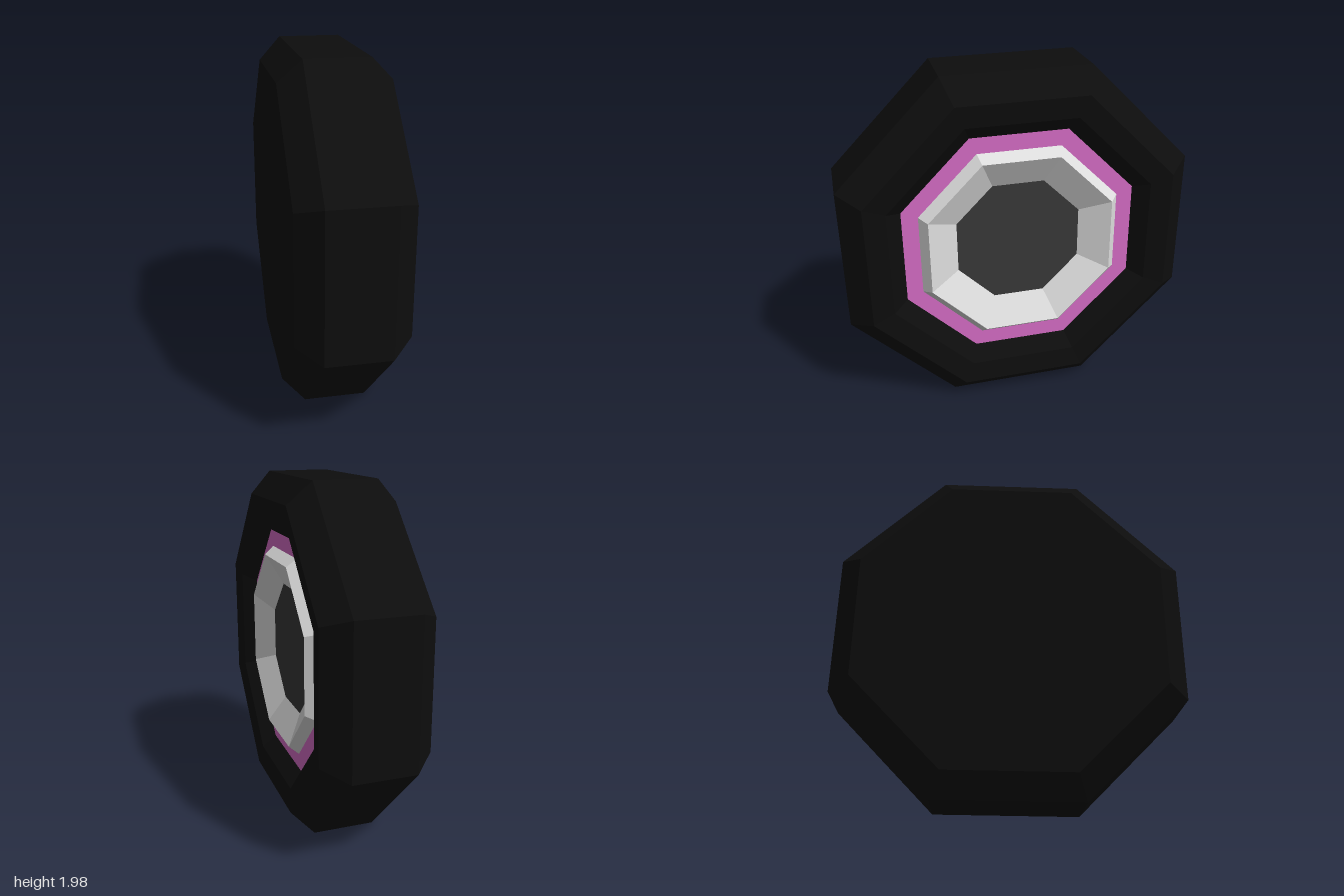
import * as THREE from 'three';

const SIDES = 8;
const flat = (name, color) => {
  const m = new THREE.MeshStandardMaterial({ color });
  m.name = name;
  return m;
};

// Faceted ring or disc around the axle (x); profile points are [distance to flat, position along axle]
function facetedPart(name, profile, material) {
  const k = 1 / Math.cos(Math.PI / SIDES);
  const points = profile.map(([r, a]) => new THREE.Vector2(r * k, a));
  let geometry = new THREE.LatheGeometry(points, SIDES, Math.PI / SIDES).toNonIndexed();
  geometry.rotateZ(-Math.PI / 2);
  geometry.rotateX(0.009);
  geometry.computeVertexNormals();
  const mesh = new THREE.Mesh(geometry, material);
  mesh.name = name;
  return mesh;
}

export function createModel() {
  const rubber = flat('black rubber', 0x0d0d0d);
  const pink = flat('pink band', 0xd66dc6);
  const silver = flat('silver rim', 0xdedede);
  const dark = flat('dark grey hub', 0x383838);

  const wheel = new THREE.Group();
  wheel.name = 'wheel';
  wheel.add(
    // Closed plain back, bevelled tread, sidewall and recess edge
    facetedPart('tyre', [
      [0, -0.302], [0.86, -0.302], [0.985, -0.176], [0.985, 0.176],
      [0.86, 0.302], [0.738, 0.285], [0.656, 0.21],
    ], rubber),
    facetedPart('rimBand', [[0.656, 0.21], [0.565, 0.21]], pink),
    // Raised lip, then dished inner cone
    facetedPart('rim', [[0.565, 0.21], [0.52, 0.265], [0.353, 0.175]], silver),
    facetedPart('hub', [[0.353, 0.175], [0, 0.175]], dark),
  );

  // The wheel stands slightly turned
  wheel.rotation.y = THREE.MathUtils.degToRad(6);
  wheel.position.y = 0.988;

  const model = new THREE.Group();
  model.name = 'wheelModel';
  model.add(wheel);
  return model;
}
